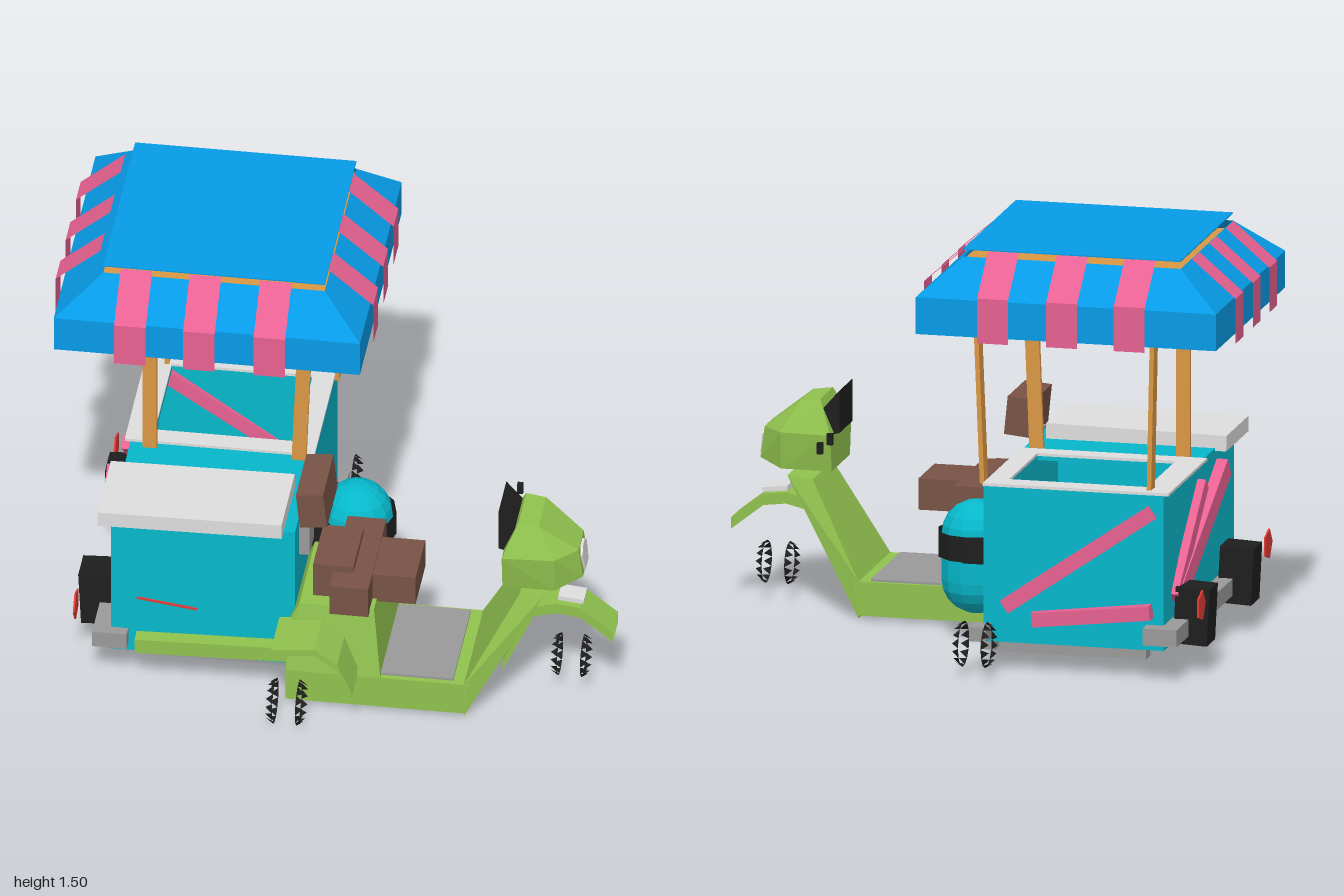
import * as THREE from 'three';
import { ConvexGeometry } from 'three/addons/geometries/ConvexGeometry.js';

const mat = (name, color) => {
  const m = new THREE.MeshStandardMaterial({ color, side: THREE.DoubleSide, flatShading: true });
  m.name = name;
  return m;
};
const blue = mat('awning blue', 0x07a0ee), teal = mat('cart teal', 0x06b8cb);
const pink = mat('stripe pink', 0xec6495), green = mat('scooter green', 0x90c24e);
const brown = mat('seat brown', 0x785345), wood = mat('post wood', 0xda9844);
const light = mat('pale grey', 0xdedede), grey = mat('steel grey', 0x9a9a9a);
const black = mat('rubber black', 0x1e1e1e), red = mat('lamp red', 0xe23c36);

export function createModel() {
  const root = new THREE.Group();
  const add = (name, geo, m) => {
    const mesh = new THREE.Mesh(geo, m);
    mesh.name = name;
    root.add(mesh);
    return mesh;
  };
  // box given by its limits on each axis
  const box = (name, m, x0, x1, y0, y1, z0, z1) => {
    const mesh = add(name, new THREE.BoxGeometry(x1 - x0, y1 - y0, z1 - z0), m);
    mesh.position.set((x0 + x1) / 2, (y0 + y1) / 2, (z0 + z1) / 2);
    return mesh;
  };
  // straight bar between two points
  const bar = (name, m, a, b, w, h) => {
    const A = new THREE.Vector3(...a), B = new THREE.Vector3(...b);
    const mesh = add(name, new THREE.BoxGeometry(w, h, A.distanceTo(B)), m);
    mesh.position.copy(A).add(B).multiplyScalar(0.5);
    mesh.lookAt(B);
  };
  const surface = (p) => {
    const g = new THREE.BufferGeometry();
    g.setAttribute('position', new THREE.Float32BufferAttribute(p, 3));
    g.computeVertexNormals();
    return g;
  };
  // skin joining equal rows of points
  const skin = (rows) => {
    const p = [];
    for (let i = 0; i + 1 < rows.length; i++)
      for (let j = 0; j + 1 < rows[i].length; j++) {
        const a = rows[i][j], b = rows[i][j + 1], c = rows[i + 1][j + 1], d = rows[i + 1][j];
        p.push(...a, ...b, ...c, ...a, ...c, ...d);
      }
    return surface(p);
  };
  const hull = (pts) => new ConvexGeometry(pts.map((p) => new THREE.Vector3(...p)));
  // flat plate in x and z with a rectangular opening
  const frame = (name, m, [x0, x1, z0, z1], [a0, a1, b0, b1], y, t) => {
    const rect = (S, l, r, f, b) => new S().moveTo(l, -f).lineTo(r, -f).lineTo(r, -b).lineTo(l, -b).closePath();
    const s = rect(THREE.Shape, x0, x1, z0, z1);
    s.holes.push(rect(THREE.Path, a0, a1, b0, b1));
    const mesh = add(name, new THREE.ExtrudeGeometry(s, { depth: t, bevelEnabled: false }), m);
    mesh.rotation.x = -Math.PI / 2;
    mesh.position.y = y;
  };

  // cart body, open at the serving end
  box('cartFloor', teal, -0.74, -0.1, 0.11, 0.13, -0.54, 0.46);
  box('cartFrontWall', teal, -0.74, -0.1, 0.11, 0.655, 0.44, 0.46);
  box('cartBackWall', teal, -0.74, -0.1, 0.11, 0.655, -0.54, -0.52);
  box('cartOuterWall', teal, -0.74, -0.72, 0.11, 0.655, -0.54, 0.46);
  box('cartInnerWall', teal, -0.12, -0.1, 0.11, 0.655, -0.54, 0.46);
  const opening = [-0.665, -0.175, -0.47, -0.07];
  frame('cartTop', teal, [-0.74, -0.1, -0.54, 0.46], opening, 0.645, 0.015);
  frame('counterRim', light, [-0.76, -0.1, -0.55, 0], opening, 0.66, 0.01);
  box('lid', light, -0.78, -0.14, 0.655, 0.71, 0.19, 0.505).rotation.z = 0.015;

  // pink trim bars on the cart
  bar('backTrim', pink, [-0.18, 0.24, -0.545], [-0.7, 0.6, -0.525], 0.06, 0.05);
  bar('backTrim', pink, [-0.28, 0.2, -0.55], [-0.7, 0.25, -0.56], 0.05, 0.05);
  bar('sideTrim', pink, [-0.75, 0.27, -0.38], [-0.785, 0.61, 0.14], 0.04, 0.075);
  bar('sideTrim', pink, [-0.75, 0.27, -0.42], [-0.765, 0.6, -0.08], 0.03, 0.05);
  bar('frontTrim', red, [-0.65, 0.333, 0.461], [-0.44, 0.305, 0.461], 0.008, 0.008);

  // chassis, bumper and couplings
  for (let i = 0; i < 4; i++) {
    const z = -0.44 + i * 0.27;
    box('chassisRail', grey, -0.66, -0.11, 0.06, 0.11, z - 0.035, z + 0.035);
  }
  box('crossBeam', grey, -0.14, -0.09, 0.08, 0.16, -0.54, 0.4);
  box('bumper', grey, -0.8, -0.68, 0.14, 0.2, -0.6, 0.5);
  bar('axle', grey, [-0.1, 0.15, -0.54], [-0.1, 0.15, -0.62], 0.06, 0.05);
  bar('coupling', grey, [-0.1, 0.08, -0.38], [0, 0.1, 0.12], 0.05, 0.04);
  bar('coupling', grey, [-0.11, 0.08, -0.17], [0.02, 0.08, 0.12], 0.05, 0.04);
  box('runningBoard', green, -0.65, -0.1, 0.145, 0.2, 0.46, 0.515).rotation.z = 0.03;
  for (const z of [-0.37, 0.26]) {
    box('bumperPad', black, -0.87, -0.75, 0.11, 0.31, z - 0.06, z + 0.06).rotation.z = 0.05;
  }
  // upright tail lamp plates
  for (const z of [-0.51, 0.44]) {
    const lamp = add('tailLamp', new THREE.CylinderGeometry(0.055, 0.055, 0.006, 5), red);
    lamp.rotation.z = Math.PI / 2;
    lamp.position.set(-0.865, 0.27, z);
  }

  // posts: front pair broad in x, back pair broad in z
  for (const [x, tilt] of [[-0.67, 0], [-0.135, -0.04]])
    box('frontPost', wood, x - 0.025, x + 0.025, 0.66, 1.44, 0.012, 0.028).rotation.z = tilt;
  for (const [x, tilt] of [[-0.69, 0.02], [-0.075, -0.04]])
    box('backPost', wood, x - 0.008, x + 0.008, 0.66, 1.44, -0.52, -0.465).rotation.z = tilt;

  // awning skirt, slopes, roof and ceiling
  const ring = (x0, x1, z0, z1, y) => [[x0, y, z1], [x1, y, z1], [x1, y, z0], [x0, y, z0], [x0, y, z1]];
  add('awning', skin([ring(-0.965, 0.1, -0.7, 0.285, 1.22), ring(-0.965, 0.1, -0.7, 0.285, 1.35),
    ring(-0.81, -0.04, -0.58, 0.165, 1.475)]), blue);
  box('awningTop', blue, -0.81, -0.04, 1.5, 1.504, -0.585, 0.165);
  box('ceiling', wood, -0.84, -0.015, 1.43, 1.44, -0.605, 0.19);

  // awning stripes, three on each side
  const profile = [[0.03, 1.207], [0.03, 1.365], [-0.125, 1.497]];
  const stripe = (place) => add('awningStripe', skin(profile.map(([o, y]) => [place(o, y, -0.055), place(o, y, 0.055)])), pink);
  for (const x of [-0.695, -0.455, -0.21]) {
    stripe((o, y, u) => [x + u, y, 0.29 + o]);
    stripe((o, y, u) => [x + 0.03 - u, y, -0.7 - o]);
  }
  for (const z of [-0.465, -0.22, 0.015]) {
    stripe((o, y, u) => [0.085 + o, y, z - u]);
    stripe((o, y, u) => [-0.96 - o, y, z + u]);
  }

  // scooter body
  add('footboard', hull([0.09, 0.545].flatMap((z) => [[-0.12, 0.02, z], [0.5, 0.02, z], [0.52, 0.14, z], [-0.12, 0.14, z]])), green);
  add('seatBase', hull([0.09, 0.545].flatMap((z) => {
    const t = z < 0.3 ? z + 0.03 : z - 0.05;
    return [[-0.12, 0.13, z], [0.21, 0.13, z], [0.18, 0.39, t], [-0.08, 0.39, t], [-0.12, 0.3, t]];
  })), green);
  box('footMat', grey, 0.2, 0.46, 0.14, 0.148, 0.105, 0.525);
  add('legShield', hull([0.09, 0.545].flatMap((z) => {
    const t = z < 0.3 ? 0.16 : 0.45;
    return [[0.5, 0.01, z], [0.5, 0.14, z], [0.68, 0.475, t], [0.77, 0.485, t]];
  })), green);

  // seats and backrest
  box('rearSeat', brown, -0.04, 0.1, 0.38, 0.52, 0.2, 0.44);
  box('seatBar', brown, 0.03, 0.165, 0.38, 0.495, 0.1, 0.53);
  box('frontSeat', brown, 0.16, 0.315, 0.38, 0.49, 0.2, 0.43);
  box('backrest', brown, -0.095, 0.0, 0.665, 0.8, 0.18, 0.43).rotation.z = 0.1;
  box('backrestPost', grey, -0.1, -0.065, 0.5, 0.67, 0.25, 0.36);

  // steering head with lamp, dash and mirrors
  add('steeringHead', hull([-1, 1].flatMap((s) => {
    const c = 0.32;
    return [[0.62, 0.5, c + 0.13 * s], [0.8, 0.5, c + 0.13 * s], [0.62, 0.63, c + 0.15 * s], [0.8, 0.63, c + 0.14 * s],
      [0.67, 0.745, c + 0.09 * s], [0.74, 0.735, c + 0.09 * s], [0.89, 0.52, c + 0.06 * s], [0.875, 0.63, c + 0.06 * s]];
  })), green);
  add('headlight', hull([0.88, 0.895].flatMap((x) => [[x, 0.53, 0.28], [x, 0.53, 0.35], [x - 0.008, 0.6, 0.37],
    [x - 0.01, 0.625, 0.34], [x - 0.01, 0.625, 0.3], [x - 0.008, 0.6, 0.27]])), light);
  add('dash', hull([0.22, 0.41].flatMap((z) => [[0.6, 0.63, z], [0.6, 0.78, z], [0.67, 0.7, z], [0.64, 0.62, z]])), black);
  for (const z of [0.025, 0.165]) box('mirror', black, 0.61, 0.63, 0.6, 0.64, z - 0.008, z + 0.008);

  // fenders, as bent plates
  const fender = (name, pts, z0, z1, t) => {
    for (const drop of [0, t]) {
      add(name, skin(pts.map(([x, y]) => [[x, y - drop, z1], [x, y - drop, z0]])), green);
    }
    for (const z of [z0, z1]) add(name, skin(pts.map(([x, y]) => [[x, y, z], [x, y - t, z]])), green);
  };
  fender('frontFender', [[0.61, 0.14], [0.72, 0.38], [0.8, 0.4], [0.88, 0.39], [0.995, 0.3]], 0.26, 0.385, 0.04);
  box('fenderCap', light, 0.8, 0.89, 0.395, 0.412, 0.285, 0.36).rotation.z = -0.1;
  fender('rearFender', [[-0.15, 0.32], [0, 0.335], [0.08, 0.28], [0.13, 0.17]], 0.49, 0.69, 0.025);

  // skeletal wheels: two toothed rings each
  const wheel = (name, x, y, z, r) => {
    const p = [], n = 14;
    for (const s of [-1, 1])
      for (let i = 0; i < n; i++) {
        const at = (k, q, dx) => {
          const a = ((i + k) / n) * Math.PI * 2;
          p.push(x + s * (0.04 + dx), y + Math.sin(a) * q, z + Math.cos(a) * q);
        };
        at(0, r, 0);
        at(1, r, 0);
        at(0.5, r * 0.8, 0.025);
      }
    add(name, surface(p), black);
  };
  wheel('frontWheel', 0.84, 0.14, 0.31, 0.075);
  wheel('scooterWheel', -0.1, 0.085, 0.655, 0.08);
  wheel('cartWheel', -0.1, 0.125, -0.66, 0.08);

  // gas tank and strap
  add('tank', new THREE.CapsuleGeometry(0.125, 0.15, 5, 14), teal).position.set(0.035, 0.3, -0.09);
  add('tankStrap', new THREE.CylinderGeometry(0.137, 0.137, 0.09, 12, 1, true), black).position.set(0.035, 0.35, -0.09);
  for (const z of [-0.23, 0.05]) box('strapEnd', black, -0.1, 0.05, 0.305, 0.395, z - 0.006, z + 0.006);
  return root;
}
